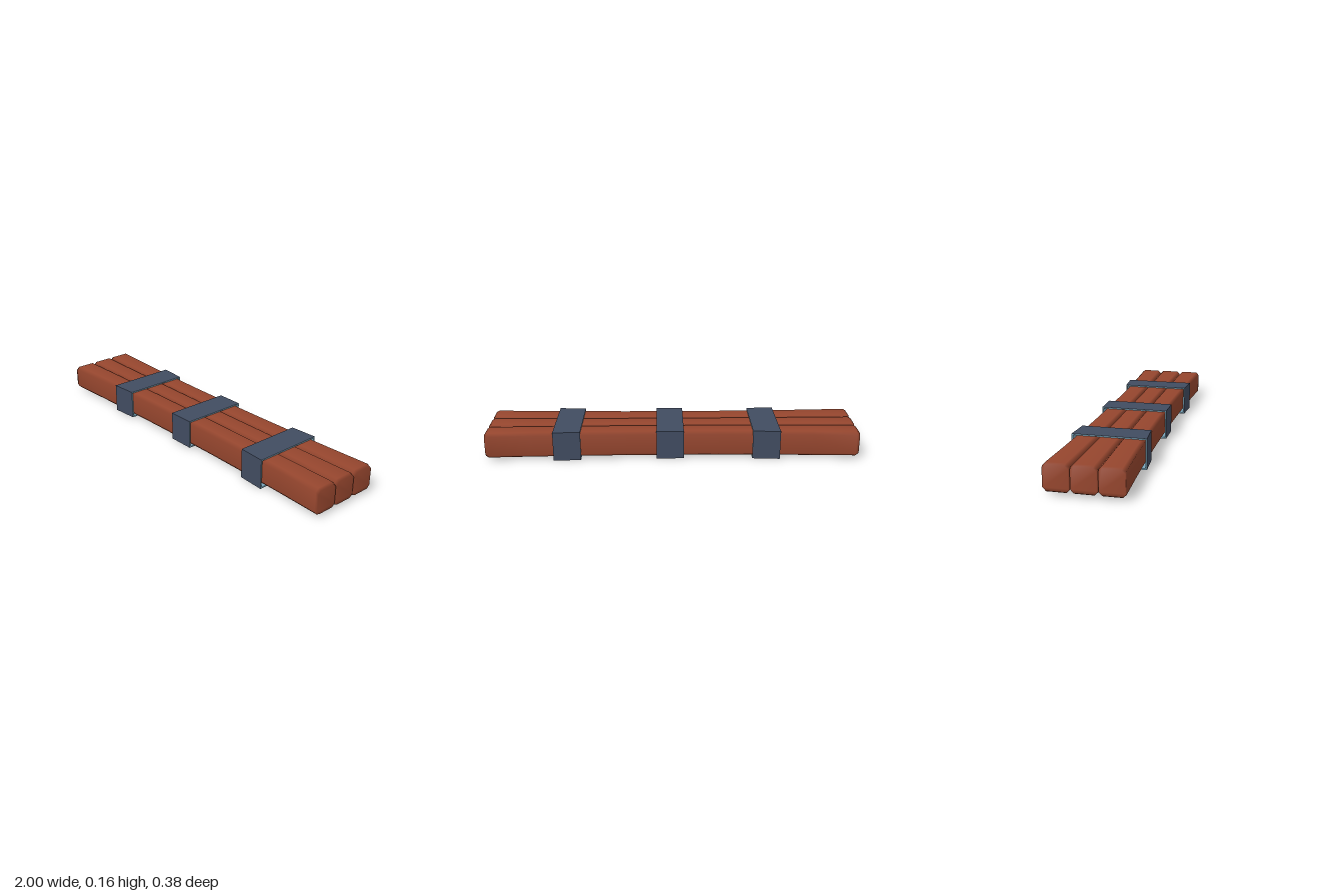
import * as THREE from 'three';

const wood = new THREE.MeshStandardMaterial({ color: 0x96462e });
wood.name = 'red brown wood';
const strapOuter = new THREE.MeshStandardMaterial({ color: 0x414c61 });
strapOuter.name = 'dark slate strap';
const strapInner = new THREE.MeshStandardMaterial({ color: 0x7aa5ba });
strapInner.name = 'pale blue strap edge';

// The bundle is pinched towards the middle
const pinch = (x) => 0.865 + 0.135 * Math.min(1, x * x);

// Smooth chamfered plank lofted along x between z0 and z1
function plank(z0, z1) {
  const lo = 0.014, hi = 0.153, c = 0.016;
  const stations = [-1, -0.985, -0.75, -0.5, -0.25, 0, 0.25, 0.5, 0.75, 0.985, 1];
  const pos = [], idx = [];
  for (const x of stations) {
    const e = Math.abs(x) === 1 ? 0.008 : 0;
    const a = lo + e, b = hi - e, l = z0 + e * 0.3, r = z1 - e * 0.3;
    const ring = [[a + c, l], [b - c, l], [b, l + c], [b, r - c],
      [b - c, r], [a + c, r], [a, r - c], [a, l + c]];
    for (const [y, z] of ring) pos.push(x, y, z * pinch(x));
  }
  const last = (stations.length - 1) * 8;
  for (let s = 0; s < last; s += 8) {
    for (let i = 0; i < 8; i++) {
      const j = (i + 1) % 8;
      idx.push(s + i, s + j, s + 8 + j, s + i, s + 8 + j, s + 8 + i);
    }
  }
  // End caps share vertices with the sides for soft shading
  for (let i = 1; i < 7; i++) {
    idx.push(0, i + 1, i, last, last + i, last + i + 1);
  }
  const geo = new THREE.BufferGeometry();
  geo.setAttribute('position', new THREE.Float32BufferAttribute(pos, 3));
  geo.setIndex(idx);
  geo.computeVertexNormals();
  return new THREE.Mesh(geo, wood);
}

// Flat-faced geometry from a list of quads
function quads(list) {
  const pos = [];
  for (const [a, b, c, d] of list) pos.push(...a, ...b, ...c, ...a, ...c, ...d);
  const geo = new THREE.BufferGeometry();
  geo.setAttribute('position', new THREE.Float32BufferAttribute(pos, 3));
  geo.computeVertexNormals();
  return geo;
}

// Rectangular strap from x0 to x1, with half depth d0 and d1 at its two rims
function strap(x0, d0, x1, d1, lo, hi) {
  const t = 0.007;
  const ring = (x, d, inset) => [[lo + inset, -d + inset], [hi - inset, -d + inset],
    [hi - inset, d - inset], [lo + inset, d - inset]].map(([y, z]) => [x, y, z]);
  const o0 = ring(x0, d0, 0), o1 = ring(x1, d1, 0);
  const i0 = ring(x0, d0, t), i1 = ring(x1, d1, t);
  const outer = [], inner = [];
  for (let i = 0; i < 4; i++) {
    const j = (i + 1) % 4;
    outer.push([o0[i], o0[j], o1[j], o1[i]]);
    inner.push([i0[i], i1[i], i1[j], i0[j]]);
    inner.push([o1[i], o1[j], i1[j], i1[i]]);
    inner.push([o0[i], i0[i], i0[j], o0[j]]);
  }
  const group = new THREE.Group();
  const face = new THREE.Mesh(quads(outer), strapOuter);
  face.name = 'strapFace';
  const lining = new THREE.Mesh(quads(inner), strapInner);
  lining.name = 'strapLining';
  group.add(face, lining);
  return group;
}

export function createModel() {
  const model = new THREE.Group();
  model.name = 'plankBundle';

  // Three planks side by side
  [['backPlank', -0.192, -0.066], ['middlePlank', -0.063, 0.063], ['frontPlank', 0.066, 0.192]]
    .forEach(([name, z0, z1]) => {
      const mesh = plank(z0, z1);
      mesh.name = name;
      model.add(mesh);
    });

  // Three straps around the bundle
  [['rightStrap', -0.577, 0.189, -0.43, 0.179, 0.002, 0.16],
    ['middleStrap', -0.06, 0.18, 0.087, 0.18, 0.005, 0.161],
    ['leftStrap', 0.492, 0.183, 0.638, 0.192, 0, 0.16]]
    .forEach(([name, ...dims]) => {
      const group = strap(...dims);
      group.name = name;
      model.add(group);
    });

  return model;
}
